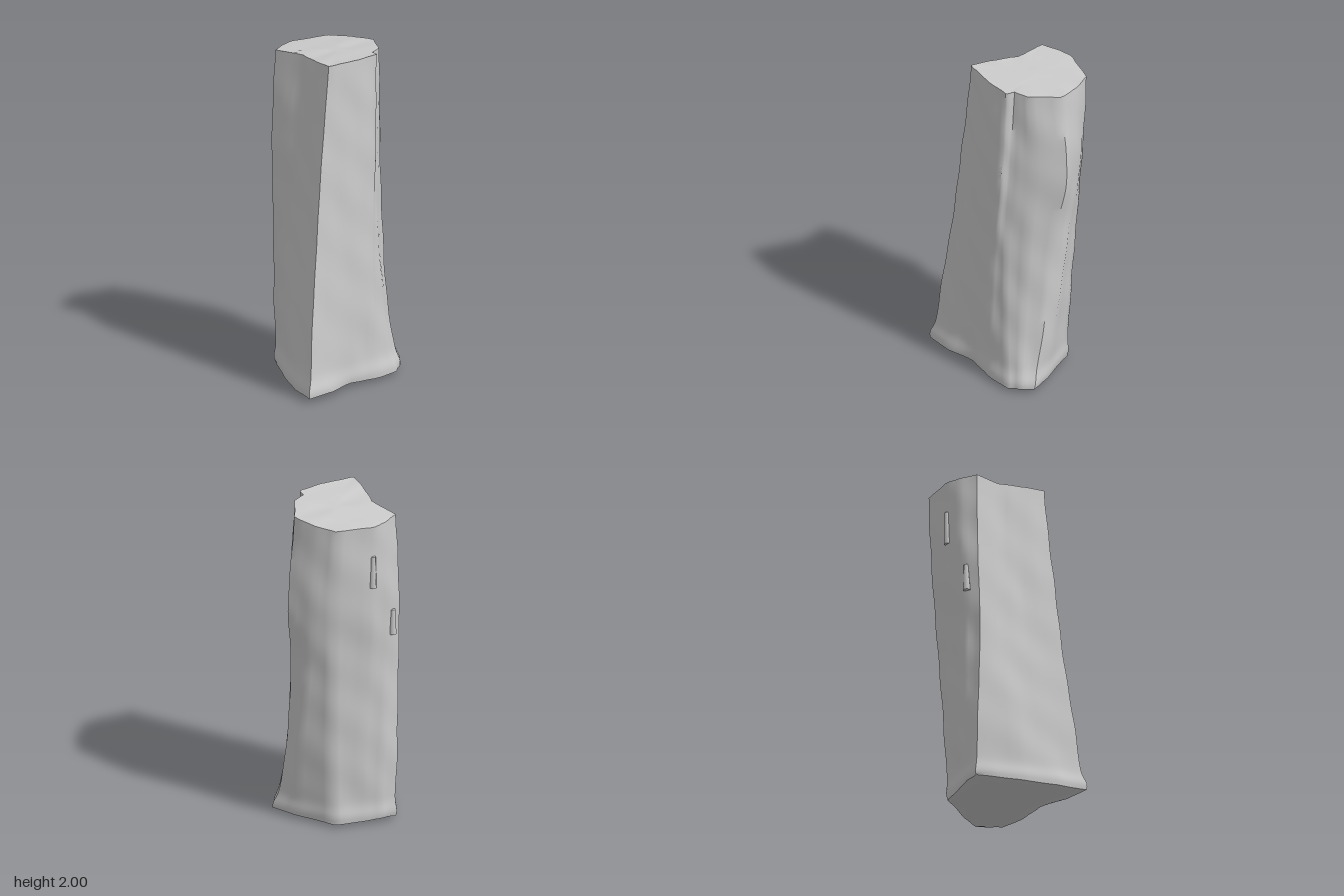
import * as THREE from 'three';
import { toCreasedNormals } from 'three/addons/utils/BufferGeometryUtils.js';

// Outlines [x, z] at rising heights, counter-clockwise from the front corner.
const HEIGHTS = [0.026, 0.4, 1, 1.45, 2];
const OUTLINES = [
  [[-.365, .375], [-.195, .335], [-.04, .25], [.12, .228], [.28, .173], [.325, .125], [.368, .048], [.28, -.07], [.1, -.26], [-.06, -.27], [-.17, -.277], [-.258, -.265], [-.325, -.02], [-.36, .19]],
  [[-.335, .335], [-.2, .305], [-.04, .255], [.12, .22], [.22, .165], [.28, .09], [.325, -.03], [.293, -.12], [.12, -.285], [-.06, -.295], [-.18, -.3], [-.28, -.27], [-.305, -.03], [-.315, .15]],
  [[-.275, .28], [-.15, .26], [-.02, .235], [.13, .19], [.18, .15], [.26, .05], [.315, -.1], [.265, -.215], [.14, -.32], [-.08, -.335], [-.2, -.315], [-.288, -.257], [-.25, -.08], [-.25, .09]],
  [[-.23, .25], [-.11, .235], [.02, .215], [.165, .165], [.18, .12], [.27, .02], [.354, -.168], [.27, -.265], [.15, -.355], [-.09, -.38], [-.205, -.345], [-.292, -.275], [-.22, -.08], [-.215, .07]],
  [[-.168, .218], [-.08, .21], [.04, .195], [.18, .145], [.18, .09], [.25, .04], [.31, -.145], [.23, -.285], [.13, -.382], [-.09, -.388], [-.185, -.35], [-.27, -.27], [-.18, -.08], [-.187, .1]],
];
const ROWS = 72, SPLIT = 4;

// Gentle bark-like waviness, stretched along the grain.
const ripple = (s, y) =>
  0.004 * Math.sin(s * 2.1 + y * 2.3) * Math.sin(y * 5 + s) +
  0.002 * Math.sin(s * 4.7 + 1.3 * Math.sin(y * 3)) +
  0.002 * Math.sin(y * 19 + s * 1.7);

function logGeometry() {
  const sides = OUTLINES[0].length;
  const columns = OUTLINES[0].map((_, k) => new THREE.CatmullRomCurve3(
    OUTLINES.map((ring, r) => {
      const [x, z] = ring[k];
      const y = r === HEIGHTS.length - 1 ? 1.981 + z * 0.08 : HEIGHTS[r];
      return new THREE.Vector3(x, y, z);
    })));
  const n = sides * SPLIT;
  const pos = [], idx = [];
  for (let i = 0; i <= ROWS; i++) {
    const ring = columns.map(c => c.getPoint(i / ROWS));
    for (let j = 0; j < n; j++) {
      const k = Math.floor(j / SPLIT);
      const p = ring[k].clone().lerp(ring[(k + 1) % sides], (j % SPLIT) / SPLIT);
      const s = (j / n) * Math.PI * 6;
      // short flare just above the foot
      const flare = 0.05 * Math.exp(-(((p.y - 0.055) / 0.055) ** 2));
      const f = 1 + flare + ripple(s, p.y) / Math.hypot(p.x, p.z);
      if (i === 0) p.y += 0.006 * Math.sin(s);
      pos.push(p.x * f, p.y, p.z * f);
    }
  }
  for (let i = 0; i < ROWS; i++) for (let j = 0; j < n; j++) {
    const a = i * n + j, b = i * n + (j + 1) % n;
    idx.push(a, b, b + n, a, b + n, a + n);
  }
  // Cut faces at both ends, as slightly crowned rings shrinking to a centre point
  const cap = (row, cx, cy, cz, up) => {
    let prev = row * n;
    const tri = (a, b, c) => up ? idx.push(a, b, c) : idx.push(a, c, b);
    for (const t of [0.1, 0.4, 0.7]) {
      const start = pos.length / 3;
      for (let j = 0; j < n; j++) {
        const o = (row * n + j) * 3;
        const x = THREE.MathUtils.lerp(pos[o], cx, t), z = THREE.MathUtils.lerp(pos[o + 2], cz, t);
        const y = THREE.MathUtils.lerp(pos[o + 1], cy, up ? t : Math.sqrt(t));
        pos.push(x, y + 0.003 * Math.sin(z * 30 + x * 9), z);
      }
      for (let j = 0; j < n; j++) {
        const k = (j + 1) % n;
        tri(prev + j, prev + k, start + k);
        tri(prev + j, start + k, start + j);
      }
      prev = start;
    }
    pos.push(cx, cy, cz);
    for (let j = 0; j < n; j++) tri(prev + j, prev + (j + 1) % n, pos.length / 3 - 1);
  };
  cap(ROWS, 0.04, 1.974, -0.09, true);
  cap(0, -0.02, 0, 0.03, false);
  const g = new THREE.BufferGeometry();
  g.setAttribute('position', new THREE.Float32BufferAttribute(pos, 3));
  g.setIndex(idx);
  return toCreasedNormals(g, 0.9);
}

export function createModel() {
  const group = new THREE.Group();
  const material = new THREE.MeshStandardMaterial({ color: 0xcccccc });
  const log = new THREE.Mesh(logGeometry(), material);
  log.name = 'splitLog';
  group.add(log);

  // Raised slivers of bark on the back, sunk into the surface: [x, y, z, length, turn]
  const slivers = [[-.238, 1.3, -.322, .16, .6], [-.1, 1.66, -.378, .2, .15]];
  for (const [x, y, z, length, turn] of slivers) {
    const sliver = new THREE.Mesh(new THREE.CylinderGeometry(0.014, 0.022, length, 7), material);
    sliver.name = 'barkSliver';
    sliver.position.set(x, y, z);
    sliver.rotation.set(-0.04, turn, 0);
    group.add(sliver);
  }
  return group;
}
